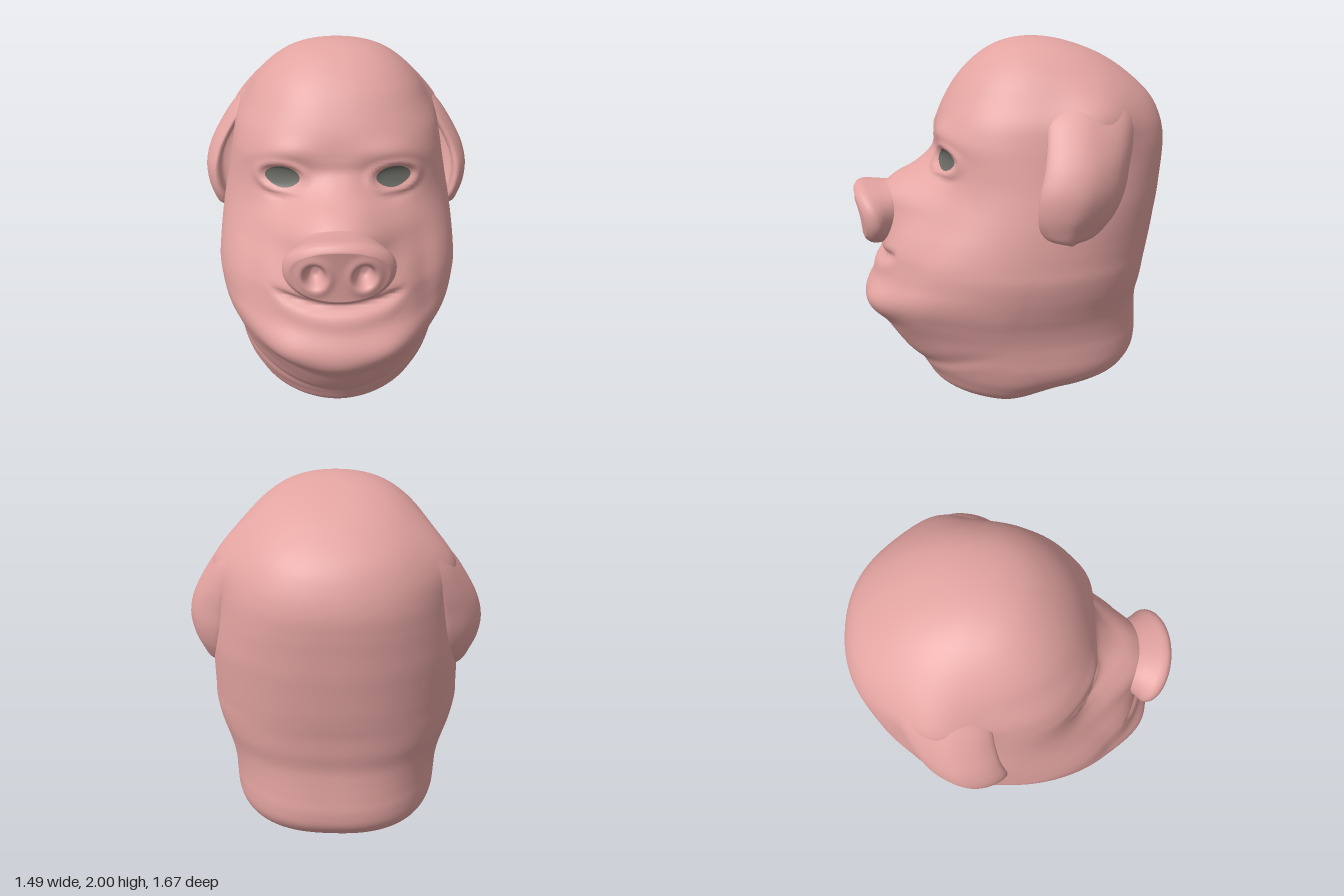
import * as THREE from 'three';

const skin = new THREE.MeshStandardMaterial({ color: 0xe3a4a1, side: THREE.DoubleSide });
skin.name = 'pink skin';
const eyeGrey = new THREE.MeshStandardMaterial({ color: 0x6b6b65, side: THREE.DoubleSide });
eyeGrey.name = 'eye grey';

const { smoothstep, lerp, clamp } = THREE.MathUtils;
const bump = (d, width) => Math.exp(-((d / width) ** 2));

// Smooth curve through rows sorted by their first value
function sample(rows, k) {
  let i = 0;
  while (i < rows.length - 2 && rows[i + 1][0] < k) i++;
  const slope = (j, c) => {
    const a = rows[Math.max(j - 1, 0)], b = rows[Math.min(j + 1, rows.length - 1)];
    return (b[c] - a[c]) / (b[0] - a[0]);
  };
  const a = rows[i], b = rows[i + 1], h = b[0] - a[0], t = clamp((k - a[0]) / h, 0, 1);
  return a.slice(1).map((v, j) => {
    const c = j + 1, t2 = t * t, t3 = t2 * t;
    return v * (2 * t3 - 3 * t2 + 1) + b[c] * (3 * t2 - 2 * t3)
      + h * (slope(i, c) * (t3 - 2 * t2 + t) + slope(i + 1, c) * (t3 - t2));
  });
}

// Surface closed around u, running along v; fn(u, v) returns [x, y, z]
function loft(name, fn, nu, nv, material, flip = false) {
  const pos = [], index = [];
  for (let j = 0; j <= nv; j++)
    for (let i = 0; i < nu; i++) pos.push(...fn(i / nu, j / nv));
  for (let j = 0; j < nv; j++)
    for (let i = 0; i < nu; i++) {
      const a = j * nu + i, b = j * nu + ((i + 1) % nu), c = a + nu, d = b + nu;
      if (flip) index.push(a, c, b, b, c, d);
      else index.push(a, b, c, b, d, c);
    }
  const g = new THREE.BufferGeometry();
  g.setAttribute('position', new THREE.Float32BufferAttribute(pos, 3));
  g.setIndex(index);
  g.computeVertexNormals();
  const mesh = new THREE.Mesh(g, material);
  mesh.name = name;
  return mesh;
}

// Head outline: height, half width, front z, back z
const HEAD = [
  [2, 0, -0.12, -0.12], [1.97, 0.2, 0.05, -0.32], [1.9, 0.33, 0.17, -0.5],
  [1.8, 0.43, 0.27, -0.65], [1.7, 0.49, 0.335, -0.755], [1.6, 0.54, 0.38, -0.808],
  [1.5, 0.565, 0.4, -0.832], [1.4, 0.585, 0.4, -0.83], [1.3, 0.605, 0.415, -0.82],
  [1.2, 0.625, 0.46, -0.81], [1.1, 0.64, 0.535, -0.795], [1, 0.65, 0.63, -0.78],
  [0.92, 0.656, 0.695, -0.765], [0.85, 0.66, 0.722, -0.75], [0.75, 0.645, 0.76, -0.735],
  [0.65, 0.62, 0.807, -0.715], [0.57, 0.595, 0.8, -0.715], [0.48, 0.575, 0.735, -0.72],
  [0.4, 0.567, 0.67, -0.725], [0.32, 0.56, 0.61, -0.715], [0.24, 0.54, 0.54, -0.68],
  [0.19, 0.515, 0.495, -0.65], [0.12, 0.46, 0.45, -0.575], [0.05, 0.355, 0.35, -0.49],
  [0.003, 0.24, 0.19, -0.42],
].map(([y, ...r]) => [Math.acos(y - 1), ...r]);
const outline = (y) => sample(HEAD, Math.acos(clamp(y - 1, -1, 1)));

// Roundness of the halves: pointed at the chin, broad at the brows; squarer nape
const frontPower = (y) => lerp(1.9, 2.3, smoothstep(y, 0.6, 1.3)) + 0.3 * bump(y - 1.45, 0.18);
const backPower = (y) => lerp(2.5, 2.2, smoothstep(y, 0.5, 1.2));

// Height of the nose bridge above the face
const BRIDGE = [[0.9, 0], [1, 0.08], [1.1, 0.18], [1.2, 0.245], [1.28, 0.2], [1.34, 0.105], [1.43, 0.015], [1.5, 0]];

// Relief of the face: brows, eye sockets, nose bridge, mouth, folds
function relief(x, y) {
  const ax = Math.abs(x);
  let d = 0;
  if (y > 0.9 && y < 1.5) d += sample(BRIDGE, y)[0] * Math.exp(-((ax / lerp(0.28, 0.13, smoothstep(y, 1.15, 1.42))) ** 2.5));
  // brow ridge, arched over each eye
  d += 0.022 * bump(y - 1.53 + 0.9 * (ax - 0.2) ** 2, 0.055) * bump(ax - 0.27, 0.15);
  // sockets, lids and bags
  const e = Math.hypot((ax - 0.28) / 0.095, (y - 1.4) / 0.055);
  d -= 0.022 * bump(ax - 0.27, 0.14) * bump(y - 1.41, 0.08);
  d += 0.018 * bump(e - 1.3, 0.28);
  d -= 0.012 * bump(y - 1.305 - 0.8 * (ax - 0.28) ** 2, 0.018) * bump(ax - 0.28, 0.09);
  // mouth line and lower lip
  const m = y - 0.862 - 0.55 * x * x, inMouth = 1 - smoothstep(ax, 0.24, 0.36);
  d -= 0.03 * bump(m, 0.02) * inMouth;
  d += 0.01 * bump(m + 0.06, 0.04) * inMouth;
  // cheeks and the folds beside them
  d += 0.02 * bump(ax - 0.33, 0.1) * bump(y - 1.0, 0.15);
  d -= 0.016 * bump(ax - 0.44 - 0.1 * (0.9 - y), 0.06) * bump(y - 0.9, 0.22);
  // fullness beside the chin and the crease below it
  d += 0.03 * bump(ax - 0.28, 0.14) * bump(y - 0.64, 0.1);
  d -= 0.012 * bump(y - 0.46 - 0.9 * x * x, 0.05) * (1 - smoothstep(ax, 0.25, 0.5));
  // neck fold
  d -= 0.016 * bump(y - 0.24 - 0.6 * x * x, 0.035);
  return d;
}

function headPoint(t, y) {
  const [w, zf, zb] = outline(y);
  const c = Math.cos(t), s = Math.sin(t), front = s >= 0, n = front ? frontPower(y) : backPower(y);
  const x = Math.sign(c) * w * Math.abs(c) ** (2 / n);
  const zc = (zf + zb) / 2;
  const r = Math.abs(s) ** (2 / n);
  let z;
  if (front) {
    // jaw folds curve upward to the sides
    const bend = 0.4 * x * x * (1 - smoothstep(y, 0.6, 0.95)) * smoothstep(y, 0.1, 0.35);
    z = zc + (outline(y - bend)[1] - zc) * r + relief(x, y) * smoothstep(s, 0, 0.6);
  } else z = zc + (zb - zc) * r;
  // the neck rim rises toward the back; the skull swells where the ears grow out
  const lift = 0.065 * (1 - smoothstep(z, -0.25, 0.1)) * (1 - smoothstep(y, 0.05, 0.35));
  const swell = 0.06 * bump(y - 1.64, 0.15) * bump(z + 0.37, 0.17) * smoothstep(Math.abs(x), 0.2, 0.45);
  return [x + Math.sign(x) * swell, y + lift, z];
}

const faceZ = (x, y) => {
  const c = Math.sign(x) * Math.min(1, Math.abs(x) / outline(y)[0]) ** (frontPower(y) / 2);
  return headPoint(Math.acos(c), y)[2];
};

// Snout barrel: z, half width, bottom, top
const SNOUT = [
  [0.45, 0.1, 0.98, 1.2], [0.6, 0.19, 0.945, 1.245], [0.68, 0.228, 0.93, 1.246],
  [0.75, 0.256, 0.917, 1.25], [0.79, 0.265, 0.915, 1.252], [0.82, 0.257, 0.923, 1.243], [0.838, 0.235, 0.942, 1.222],
];

function snoutPoint(u, v) {
  const a = u * Math.PI * 2, split = 0.45;
  const z0 = v < split ? lerp(0.45, 0.838, v / split) : 0.838;
  const [hw, lo, hi] = sample(SNOUT, z0);
  const k = v < split ? 1 : 1 - (v - split) / (1 - split);
  const p = (q) => Math.sign(q) * Math.abs(q) ** 0.93;
  const x = hw * k * p(Math.cos(a));
  const y = (lo + hi) / 2 + ((hi - lo) / 2) * k * p(Math.sin(a));
  let z = z0 + smoothstep(z0, 0.6, 0.8) * (0.17 * (y - 1.2) - 0.75 * x * x);
  if (v >= split) {
    // gently dished face with two nostrils
    const r = Math.hypot((Math.abs(x) - 0.113) / 0.043, (y - 1.08) / 0.053);
    z += -0.006 * (1 - k * k) - 0.075 * Math.exp(-(r ** 4)) + 0.008 * bump(r - 1.6, 0.5);
  }
  return [x, y, z];
}

// Ear: height, outer x, front z, back z; the root is buried in the head
const EAR_TOP = 1.82;
const EAR = [
  [EAR_TOP, 0.33, -0.28, -0.42], [1.76, 0.45, -0.2, -0.49], [1.7, 0.515, -0.16, -0.52],
  [1.62, 0.59, -0.12, -0.53], [1.5, 0.67, -0.1, -0.52], [1.4, 0.72, -0.08, -0.5],
  [1.3, 0.743, -0.055, -0.48], [1.2, 0.735, -0.05, -0.44], [1.12, 0.71, -0.065, -0.385],
  [1.07, 0.69, -0.11, -0.33], [1.05, 0.67, -0.2, -0.25],
].map(([y, ...r]) => [EAR_TOP - y, ...r]);

function earPoint(side) {
  const cache = new Map();
  return (u, v) => {
    const drop = 0.77 * (1 - (1 - v) ** 1.3), y = EAR_TOP - drop;
    if (!cache.has(v)) {
      const [xo, zf, zb] = sample(EAR, drop), d = zf - zb, hx = Math.min(outline(y)[0] - 0.08, xo - 0.06);
      const k = Math.min(1, d / 0.3);
      cache.set(v, new THREE.CatmullRomCurve3([
        [hx, zb - 0.02], [lerp(hx, xo, 0.54), zb + 0.1 * d], [xo - 0.015, zb + 0.42 * d], [xo, zb + 0.62 * d],
        [xo - 0.025 * k, zf - 0.13 * d], [xo - 0.07 * k, zf], [xo - 0.095 * k, zf - 0.05 * d],
        [xo - 0.07 * k, zf - 0.25 * d], [xo - 0.08 * k, zf - 0.45 * d], [hx, zf - 0.55 * d],
      ].map(([x, z]) => new THREE.Vector3(x, 0, z)), true, 'centripetal'));
    }
    const q = cache.get(v).getPoint(u);
    return [side * q.x, y, q.z];
  };
}

// Almond eye plate lying on the face
const eyePoint = (side) => (u, v) => {
  const a = u * Math.PI * 2, k = Math.max(1 - v, 0.001), s = Math.sin(a);
  const x = side * 0.275 + 0.088 * k * Math.cos(a);
  const y = 1.402 + 0.054 * k * s * (1 - 0.2 * Math.cos(a) ** 2);
  return [x, y, faceZ(x, y) + 0.005];
};

export function createModel() {
  const model = new THREE.Group();
  model.name = 'pigHeadMask';
  // head shell, open at the neck, sampled more densely at the front
  const head = loft('head', (u, v) => {
    const t = u < 0.62 ? (u / 0.62) * Math.PI : Math.PI * (1 + (u - 0.62) / 0.38);
    return headPoint(t, 1 + Math.cos(v * Math.acos(-0.997)));
  }, 190, 190, skin);
  model.add(head, loft('snout', snoutPoint, 96, 70, skin));
  for (const [label, side] of [['left', 1], ['right', -1]]) {
    model.add(loft(label + 'Ear', earPoint(side), 48, 40, skin, side < 0));
    model.add(loft(label + 'Eye', eyePoint(side), 36, 8, eyeGrey));
  }
  return model;
}
